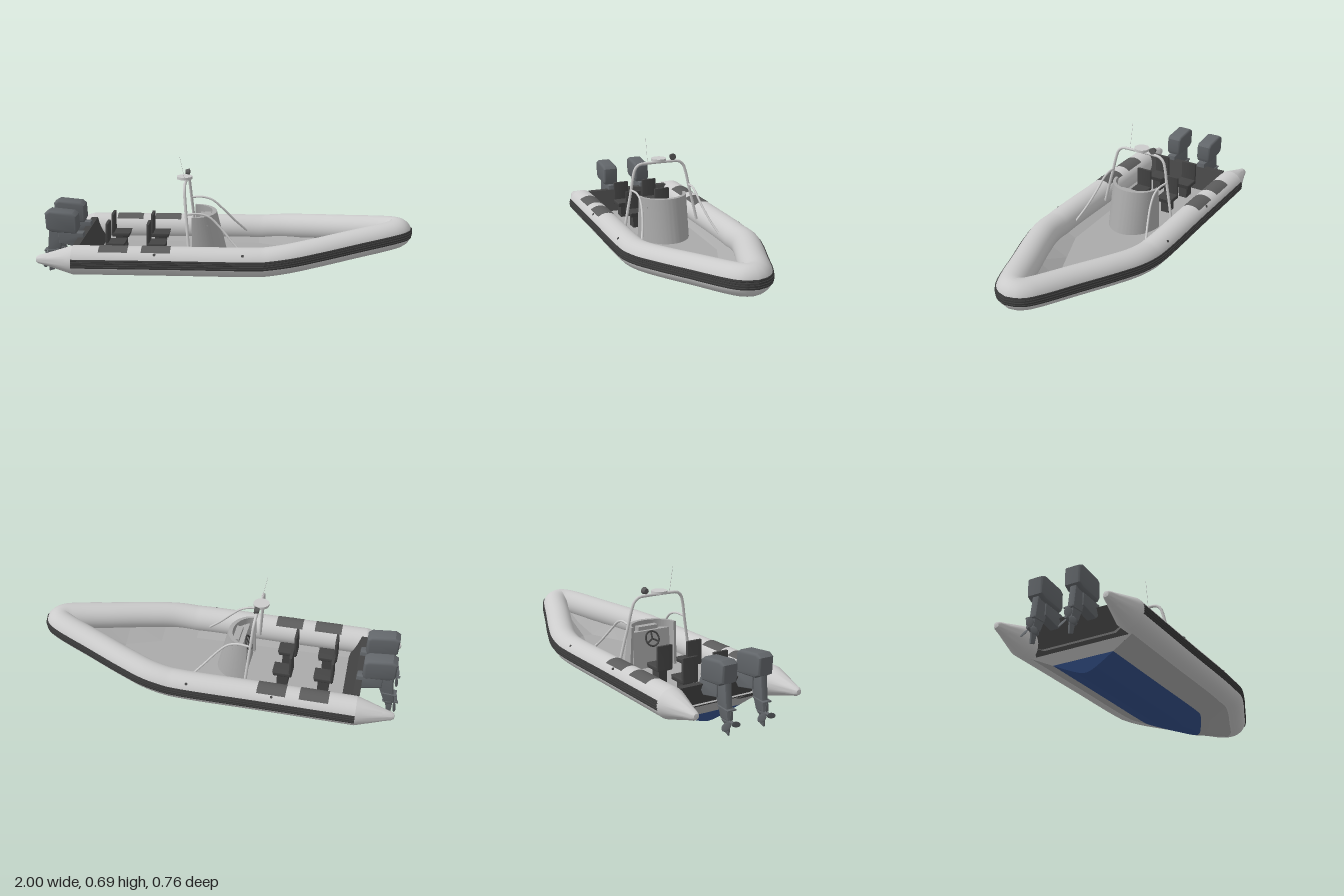
import * as THREE from 'three';
import { mergeVertices, toCreasedNormals } from 'three/addons/utils/BufferGeometryUtils.js';

const V = (x, y, z) => new THREE.Vector3(x, y, z);
const mat = (color, extra = {}) => new THREE.MeshStandardMaterial({ color, ...extra });
const { lerp, clamp, degToRad } = THREE.MathUtils;

// Surface through rows of points
function grid(rows) {
  const n = rows[0].length, index = [];
  for (let i = 0; i < rows.length - 1; i++)
    for (let j = 0; j < n - 1; j++) {
      const a = i * n + j, b = a + n;
      index.push(a, b, a + 1, b, b + 1, a + 1);
    }
  let g = new THREE.BufferGeometry().setFromPoints(rows.flat());
  g.setIndex(index);
  g = mergeVertices(g, 1e-5);
  g.computeVertexNormals();
  return g;
}

const range = (n, a, b) => Array.from({ length: n + 1 }, (_, i) => lerp(a, b, i / n));

export function createModel() {
  const root = new THREE.Group();
  const grey = mat(0xcccccc), hullGrey = mat(0xaaaaaa, { side: THREE.DoubleSide });
  const blue = mat(0x34508a, { side: THREE.DoubleSide });
  const dark = mat(0x444444), pad = mat(0x5c5c5c), engineGrey = mat(0x62666a);
  const rubber = mat(0x3a3a3a, { flatShading: true, side: THREE.DoubleSide });
  const add = (name, geo, material, parent = root) => {
    const m = new THREE.Mesh(geo, material);
    m.name = name;
    parent.add(m);
    return m;
  };
  const box = (name, w, h, d, x, y, z, material, parent) => {
    const m = add(name, new THREE.BoxGeometry(w, h, d), material, parent);
    m.position.set(x, y, z);
    return m;
  };
  const pipe = (name, pts, r, parent) =>
    add(name, new THREE.TubeGeometry(new THREE.CatmullRomCurve3(pts), 48, r, 10), grey, parent);
  // Side outline in x, y with bevelled thickness across z
  const plate = (pts, width, bevel) => {
    const depth = width - 2 * bevel;
    const g = new THREE.ExtrudeGeometry(new THREE.Shape(pts.map(p => new THREE.Vector2(...p))),
      { depth, bevelSize: bevel, bevelThickness: bevel, bevelSegments: 4 });
    return toCreasedNormals(g.translate(0, 0, -depth / 2), 0.6);
  };

  // Inflatable collar path
  const R = 0.076, Z = 0.296;
  const tubeY = x => 0.185 + Math.max(0, (x - 0.19) / 0.73) * 0.08;
  const half = [[-0.79, Z], [-0.3, Z], [0.15, Z], [0.3, 0.279], [0.45, 0.228], [0.65, 0.146], [0.85, 0.064], [0.9, 0.034]];
  const mirrored = half.map(([x, z]) => [x, -z]).reverse();
  const path = new THREE.CatmullRomCurve3([...half, [0.9195, 0], ...mirrored].map(([x, z]) => V(x, 0, z)));
  path.arcLengthDivisions = 1000;
  const sweep = profile => grid(range(240, 0, 1).map(u => {
    const c = path.getPointAt(u), t = path.getTangentAt(u);
    return profile.map(([r, a]) => V(c.x - t.z * r * Math.cos(a), tubeY(c.x) + r * Math.sin(a), c.z + t.x * r * Math.cos(a)));
  }));
  add('inflatableCollar', sweep(range(32, 0, Math.PI * 2).map(a => [R, a])), grey);

  // Ribbed rubbing strake
  const ribs = [];
  for (let k = 0; k < 4; k++)
    [[0.0765, 0], [0.0805, 1.5], [0.0805, 7], [0.0765, 8.5]].forEach(([r, d]) => ribs.push([r, degToRad(-16 + k * 9 + d)]));
  add('rubbingStrake', sweep(ribs), rubber);

  // Stern cones, deck pads and valves on both sides
  const cone = [[R, 0], [0.07, 0.02], [0.036, 0.13], [0.034, 0.135], [0.022, 0.18], [0.014, 0.193], [0, 0.197]];
  for (const s of [1, -1]) {
    const g = new THREE.LatheGeometry(cone.map(p => new THREE.Vector2(...p)), 32).rotateZ(Math.PI / 2);
    add('sternCone', toCreasedNormals(g, 0.5), grey).position.set(-0.79, 0.185, s * Z);
    for (const x of [-0.65, -0.43])
      add('tubePad', grid([x, x + 0.15].map(px => range(12, degToRad(50), degToRad(130)).map(a =>
        V(px, 0.185 + 0.0775 * Math.sin(a), s * Z + 0.0775 * Math.cos(a))))), pad);
    for (const x of [-0.36, 0.09]) {
      const v = add('valve', new THREE.CylinderGeometry(0.007, 0.007, 0.006, 16), dark);
      v.position.set(x, 0.185 + R * 0.68, s * (Z + R * 0.73));
      v.rotation.x = s * 0.82;
    }
  }

  // Hull: rounded V sections, split at the waterline
  const samples = path.getSpacedPoints(800).filter(p => p.z >= 0);
  const tubeZ = x => (samples.find(p => p.x >= x) ?? V(0, 0, 0)).z;
  const keelPts = [[-0.7, 0], [0.17, 0], [0.48, 0.06], [0.93, 0.19]];
  const keel = x => {
    const i = Math.max(1, keelPts.findIndex(p => p[0] >= x));
    const [a, b] = [keelPts[i - 1], keelPts[i]];
    return lerp(a[1], b[1], (x - a[0]) / (b[0] - a[0]));
  };
  const A = 0.15, C = Math.sqrt(1 + A * A) - A, WATER = 0.06;
  const sheer = x => [Math.max(0, tubeZ(x) - 0.015), tubeY(x) - R + 0.003];
  const hullPoint = (x, t) => {
    const [zs, ys] = sheer(x), k = keel(x);
    const y = k + (ys - k) * (Math.sqrt(t * t + A * A) - A) / C;
    return V(x - 0.48 * y * clamp(-x / 0.68, 0, 1), y, zs * t);
  };
  const waterT = x => {
    const k = keel(x), f = Math.max(0, (WATER - k) / (sheer(x)[1] - k));
    return Math.sqrt((f * C + A) ** 2 - A * A);
  };
  const aft = range(40, -0.68, 0.48), fore = range(16, 0.48, 0.915);
  const bottomRows = aft.map(x => range(24, -waterT(x), waterT(x)).map(t => hullPoint(x, t)));
  add('hullBottom', grid(bottomRows), blue);
  for (const s of [1, -1])
    add('hullSide', grid([...aft, ...fore.slice(1)].map(x => {
      const w = waterT(x);
      return (s > 0 ? range(8, w, 1) : range(8, -1, -w)).map(t => hullPoint(x, t));
    })), hullGrey);

  // Raked transom
  const rakeX = y => -0.68 - 0.48 * y;
  add('transomBottom', grid([bottomRows[0].map(p => V(rakeX(WATER), WATER, p.z)), bottomRows[0]]), blue);
  const wT = waterT(-0.68);
  add('transomFace', grid([1, wT].map(t => [-t, t].map(u => hullPoint(-0.68, u)))), hullGrey);
  const board = new THREE.BoxGeometry(0.035, 0.15, 0.5).translate(0, 0.175, 0);
  const bp = board.attributes.position;
  for (let i = 0; i < bp.count; i++) bp.setX(i, bp.getX(i) + rakeX(bp.getY(i)) + 0.0175);
  board.computeVertexNormals();
  add('transomBoard', board, dark);

  // Deck: flat floor narrowing into a rising bow
  const deckRows = [[-0.76, 0.2, 0.13], [0.17, 0.18, 0.13], [0.36, 0.105, 0.13], [0.55, 0.03, 0.13], [0.7, 0.015, 0.175], [0.87, 0, 0.235]];
  add('deck', grid(deckRows.map(([x, w, y]) => {
    const e = Math.max(0.01, tubeZ(x) - 0.035), ey = Math.max(y, tubeY(x) - 0.025);
    return [V(x, ey, e), V(x, y, w), V(x, y, -w), V(x, ey, -e)];
  })), mat(0xaaaaaa, { flatShading: true, side: THREE.DoubleSide }));

  // Console: tapered half-round shell with dash and wheel
  const consoleGroup = new THREE.Group();
  consoleGroup.name = 'console';
  consoleGroup.position.set(-0.185, 0.13, 0);
  root.add(consoleGroup);
  const crescent = new THREE.Shape();
  crescent.absellipse(0, 0, 0.185, 0.147, -Math.PI / 2, Math.PI / 2, false);
  crescent.absellipse(0, 0, 0.15, 0.132, Math.PI / 2, -Math.PI / 2, true);
  const shell = new THREE.ExtrudeGeometry(crescent, { depth: 0.24, bevelEnabled: false, curveSegments: 32 }).rotateX(-Math.PI / 2);
  const sp = shell.attributes.position;
  for (let i = 0; i < sp.count; i++) {
    const t = sp.getY(i) / 0.24;
    sp.setXYZ(i, sp.getX(i) * (1 - 0.32 * t), sp.getY(i), sp.getZ(i) * (1 - 0.06 * t));
  }
  add('consoleShell', toCreasedNormals(shell, 0.6), hullGrey, consoleGroup);
  box('dashPanel', 0.05, 0.2, 0.23, 0.045, 0.1, 0, hullGrey, consoleGroup).rotation.z = -0.12;
  box('instrumentBox', 0.035, 0.03, 0.12, 0.075, 0.205, 0, hullGrey, consoleGroup);
  const wheel = new THREE.Group();
  wheel.name = 'steeringWheel';
  wheel.position.set(0.015, 0.16, 0);
  wheel.rotation.set(0, Math.PI / 2, 0.4, 'ZYX');
  wheel.rotation.z = -0.4;
  consoleGroup.add(wheel);
  add('wheelRim', new THREE.TorusGeometry(0.04, 0.005, 8, 32), dark, wheel);
  for (let k = 0; k < 3; k++) box('wheelSpoke', 0.006, 0.04, 0.005, 0, 0.02, 0, dark, new THREE.Group().add())
    .parent.rotateZ(k * 2.094).name = 'spoke' + k;
  for (let k = 0; k < 3; k++) {
    const arm = new THREE.Group();
    arm.name = 'wheelArm';
    arm.rotation.z = k * Math.PI * 2 / 3;
    wheel.add(arm);
    box('wheelSpoke', 0.008, 0.04, 0.005, 0, 0.02, 0, dark, arm);
  }

  // Arch with forward braces
  const archX = y => -0.2 - 0.08 * (y - 0.26);
  const leg = [[0.218, 0.19], [0.195, 0.3], [0.175, 0.39], [0.158, 0.475], [0.142, 0.52], [0.115, 0.54], [0.09, 0.542]];
  pipe('arch', [...leg, ...leg.map(([z, y]) => [-z, y]).reverse()].map(([z, y]) => V(archX(y), y, z)), 0.008);
  for (const s of [1, -1])
    pipe('archBrace', [[-0.211, 0.4, 0.173], [-0.14, 0.402, 0.168], [-0.09, 0.385, 0.166], [-0.04, 0.34, 0.172], [0.03, 0.262, 0.195], [0.1, 0.19, 0.225]]
      .map(([x, y, z]) => V(x, y, s * z)), 0.006);

  // Radar disc, aerial and searchlight
  add('radarDisc', new THREE.CylinderGeometry(0.042, 0.042, 0.014, 32), grey).position.set(-0.232, 0.557, 0);
  pipe('aerial', [V(-0.222, 0.545, 0.07), V(-0.236, 0.615, 0.07), V(-0.25, 0.685, 0.07)], 0.0008);
  add('searchlightPost', new THREE.CylinderGeometry(0.004, 0.004, 0.02, 10), grey).position.set(-0.225, 0.55, -0.078);
  const lamp = add('searchlight', new THREE.CylinderGeometry(0.019, 0.013, 0.024, 20), pad);
  lamp.position.set(-0.222, 0.568, -0.078);
  lamp.rotation.z = -Math.PI / 2;

  // Four pedestal seats
  for (const x of [-0.6, -0.38])
    for (const z of [0.09, -0.09]) {
      const seat = new THREE.Group();
      seat.name = 'seat';
      seat.position.set(x, 0.13, z);
      root.add(seat);
      box('seatPedestal', 0.06, 0.07, 0.05, 0, 0.035, 0, dark, seat);
      const cushion = [[-0.04, 0.076], [0.042, 0.076], [0.046, 0.088], [-0.04, 0.088]];
      add('seatCushion', plate(cushion, 0.094, 0.007), dark, seat);
      const back = [[-0.047, 0.08], [-0.039, 0.08], [-0.037, 0.196], [-0.043, 0.196]];
      add('seatBack', plate(back, 0.09, 0.004), dark, seat);
    }

  // Twin outboard engines
  for (const s of [1, -1]) {
    const engine = new THREE.Group();
    engine.name = 'outboardEngine';
    engine.position.z = s * 0.103;
    root.add(engine);
    const cowl = [[-0.952, 0.308], [-0.93, 0.296], [-0.815, 0.289], [-0.81, 0.3], [-0.813, 0.366], [-0.825, 0.376], [-0.94, 0.387], [-0.955, 0.378]];
    add('engineCowl', plate(cowl, 0.088, 0.014), engineGrey, engine);
    const midLeg = [[-0.95, 0.29], [-0.872, 0.285], [-0.9, 0.2], [-0.928, 0.13], [-0.972, 0.13], [-0.96, 0.2]];
    add('engineLeg', plate(midLeg, 0.036, 0.006), engineGrey, engine);
    add('cavitationPlate', plate([[-0.985, 0.172], [-0.91, 0.178], [-0.91, 0.182], [-0.985, 0.176]], 0.05, 0.001), engineGrey, engine);
    add('skeg', plate([[-0.93, 0.13], [-0.945, 0.06], [-0.968, 0.052], [-0.97, 0.13]], 0.01, 0.002), engineGrey, engine);
    add('engineBracket', plate([[-0.9, 0.275], [-0.775, 0.27], [-0.77, 0.235], [-0.8, 0.2], [-0.9, 0.22]], 0.05, 0.004), engineGrey, engine);
    const gear = add('gearCase', new THREE.SphereGeometry(0.016, 16, 12), engineGrey, engine);
    gear.scale.x = 2;
    gear.position.set(-0.948, 0.118, 0);
    const prop = new THREE.Group();
    prop.name = 'propeller';
    prop.position.set(-0.983, 0.118, 0);
    engine.add(prop);
    add('propellerHub', new THREE.CylinderGeometry(0.007, 0.012, 0.034, 16).rotateZ(Math.PI / 2), engineGrey, prop);
    for (let k = 0; k < 3; k++) {
      const blade = new THREE.SphereGeometry(1, 12, 8).scale(0.003, 0.026, 0.018).rotateY(0.55).translate(0, 0.032, 0);
      add('propellerBlade', blade.rotateX(k * Math.PI * 2 / 3), engineGrey, prop);
    }
  }
  return root;
}
